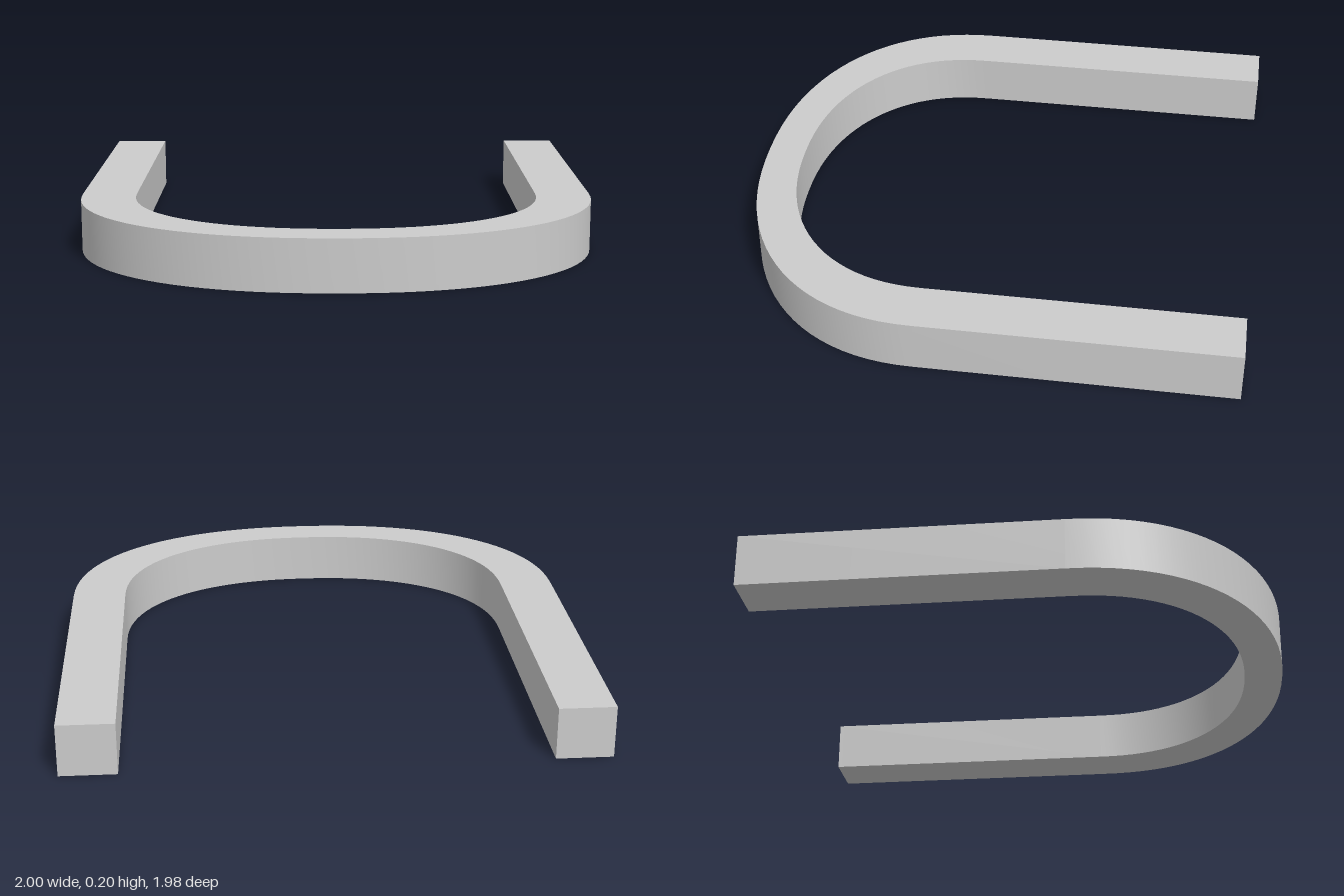
import * as THREE from 'three';
import { toCreasedNormals } from 'three/addons/utils/BufferGeometryUtils.js';

const HEIGHT = 0.2;
const BACK = -0.99;      // z of the open ends
const BEND = 0.205;      // z where the straight arms start to curve
const SEGMENTS = 48;

// Slightly squared half oval from x = -halfWidth round the front to x = +halfWidth
function bend(halfWidth, depth) {
  const power = 2 / 2.2;
  const points = [];
  for (let i = 0; i <= SEGMENTS; i++) {
    const a = Math.PI * (1 - i / SEGMENTS);
    const c = Math.cos(a);
    const s = Math.max(0, Math.sin(a));
    points.push(new THREE.Vector2(
      halfWidth * Math.sign(c) * Math.abs(c) ** power,
      BEND + depth * s ** power
    ));
  }
  return points;
}

export function createModel() {
  const group = new THREE.Group();
  group.name = 'uShapedBar';

  // Plan outline: outer edge one way, inner edge back
  const outline = [
    new THREE.Vector2(-1, BACK),
    ...bend(1, 0.785),
    new THREE.Vector2(1, BACK),
    new THREE.Vector2(0.787, BACK),
    ...bend(0.787, 0.635).reverse(),
    new THREE.Vector2(-0.787, BACK),
  ];

  // Flat bar, laid down so the plan's y becomes z
  const geometry = new THREE.ExtrudeGeometry(new THREE.Shape(outline), {
    depth: HEIGHT,
    bevelEnabled: false,
  });
  geometry.rotateX(Math.PI / 2);
  geometry.translate(0, HEIGHT, 0);

  const bar = new THREE.Mesh(
    toCreasedNormals(geometry, Math.PI / 5),
    new THREE.MeshStandardMaterial({ color: 0xcccccc })
  );
  bar.name = 'curvedBar';
  group.add(bar);
  return group;
}
